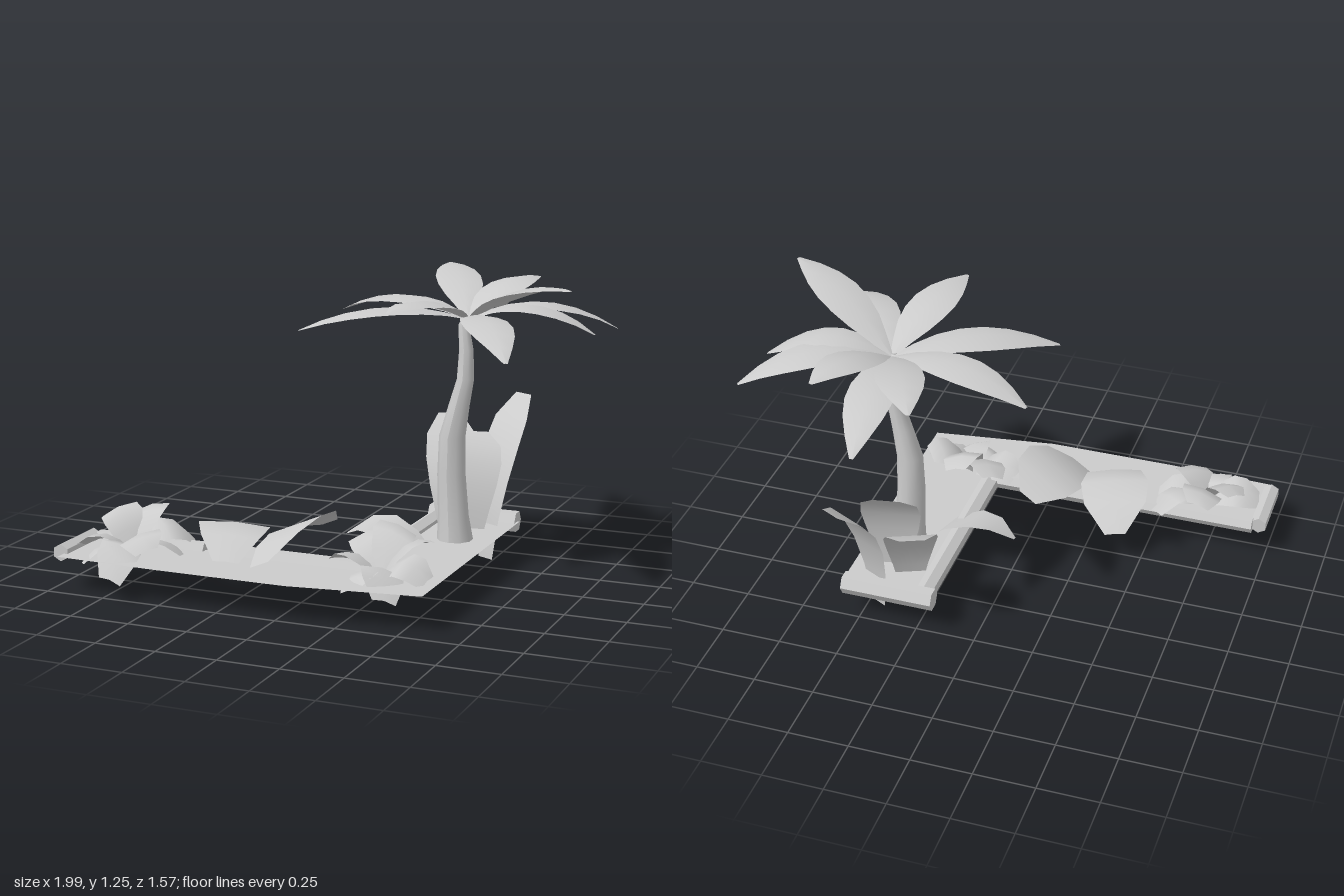
import * as THREE from 'three';

const V = (a) => new THREE.Vector3(...a);
const UP = new THREE.Vector3(0, 1, 0);
const leafMat = new THREE.MeshStandardMaterial({ color: 0xcccccc, side: THREE.DoubleSide });
const woodMat = new THREE.MeshStandardMaterial({ color: 0xcccccc, flatShading: true });
const barkMat = new THREE.MeshStandardMaterial({ color: 0xcccccc });

// Half-width along a blade, base to tip
const FROND = [0.1, 0.46, 0.8, 0.98, 1, 0.83, 0.5, 0.08];
const BROAD = [0.35, 0.8, 1, 0.9, 0.3];
const POINTED = [0.45, 0.85, 1, 0.75, 0.1];
const PADDLE = [0.4, 0.65, 0.88, 1, 0.93, 0.45];
const STUBBY = [0.3, 0.75, 1, 0.95, 0.55];

// Curved blade: arc from base to tip, raised by lift, creased by fold, rolled by tilt, turned about y
function blade(name, base, tip, { width, lift = 0, fold = 0, tilt = 0, push = 0, turn = 0, profile = BROAD }) {
  const a = V(base), b = V(tip);
  const heading = b.clone().sub(a).setY(0).normalize();
  const side = new THREE.Vector3(-heading.z, 0, heading.x).applyAxisAngle(UP, turn);
  const control = a.clone().lerp(b, 0.5).addScaledVector(heading, push);
  control.y += lift * 2;
  const curve = new THREE.QuadraticBezierCurve3(a, control, b);
  const pos = [], index = [], n = profile.length;
  profile.forEach((p, i) => {
    const c = curve.getPoint(i / (n - 1));
    for (const s of [-1, 0, 1]) {
      const q = c.clone().addScaledVector(side, (s * p * width) / 2);
      q.y += (s * tilt - Math.abs(s) * fold) * p;
      pos.push(q.x, q.y, q.z);
    }
    if (i < n - 1) for (const j of [0, 1]) {
      const k = i * 3 + j;
      index.push(k, k + 1, k + 3, k + 1, k + 4, k + 3);
    }
  });
  const g = new THREE.BufferGeometry();
  g.setAttribute('position', new THREE.Float32BufferAttribute(pos, 3));
  g.setIndex(index);
  g.computeVertexNormals();
  const mesh = new THREE.Mesh(g, leafMat);
  mesh.name = name;
  return mesh;
}

// Six-sided log between two points
function log(name, from, to, radius) {
  const a = V(from), b = V(to), d = b.clone().sub(a);
  const mesh = new THREE.Mesh(new THREE.CylinderGeometry(radius, radius, d.length(), 6), woodMat);
  mesh.position.copy(a).lerp(b, 0.5);
  mesh.quaternion.setFromUnitVectors(UP, d.normalize());
  mesh.name = name;
  return mesh;
}

// Tapered trunk swept through rings of [x, y, z, radius]
function trunk() {
  const rings = [
    [0.42, 0.13, -0.115, 0.076], [0.41, 0.25, -0.115, 0.063], [0.4, 0.42, -0.115, 0.058],
    [0.402, 0.58, -0.115, 0.054], [0.43, 0.71, -0.115, 0.043], [0.456, 0.82, -0.115, 0.035],
    [0.458, 0.94, -0.115, 0.029], [0.445, 1.04, -0.118, 0.022], [0.45, 1.07, -0.125, 0.012],
  ];
  const sides = 10;
  const g = new THREE.CylinderGeometry(1, 1, 1, sides, rings.length - 1, true);
  const p = g.attributes.position;
  for (let i = 0; i < p.count; i++) {
    const [x, y, z, r] = rings[rings.length - 1 - Math.floor(i / (sides + 1))];
    p.setXYZ(i, x + p.getX(i) * r, y, z + p.getZ(i) * r);
  }
  g.computeVertexNormals();
  const mesh = new THREE.Mesh(g, barkMat);
  mesh.name = 'palmTrunk';
  return mesh;
}

// Low plant with broad leaves around a centre
function rosette(name, center, tips) {
  const group = new THREE.Group();
  group.name = name;
  tips.forEach((tip, i) => group.add(blade('plantLeaf', center, tip, {
    width: 0.165, lift: 0.06 + 0.015 * (i % 3), fold: 0.015, tilt: i % 2 ? 0.025 : -0.025, profile: STUBBY,
  })));
  return group;
}

export function createModel() {
  const model = new THREE.Group();
  model.name = 'palmGardenBed';

  // L-shaped ground sheet
  const outline = [[-0.95, 0.75], [-0.5, 0.765], [0.05, 0.765], [0.58, 0.69], [0.58, -0.47],
    [0.23, -0.47], [0.23, 0.43], [-0.95, 0.43]];
  const sheet = new THREE.ShapeGeometry(new THREE.Shape(outline.map(([x, z]) => new THREE.Vector2(x, -z))));
  const ground = new THREE.Mesh(sheet.rotateX(-Math.PI / 2), leafMat);
  ground.position.y = 0.148;
  ground.name = 'ground';
  model.add(ground);

  // Border logs
  model.add(
    log('frontLogOuter', [-0.94, 0.148, 0.43], [-0.45, 0.148, 0.43], 0.034),
    log('frontLogInner', [-0.42, 0.143, 0.435], [0.25, 0.143, 0.435], 0.04),
    log('sideLog', [0.23, 0.143, 0.39], [0.23, 0.143, -0.46], 0.04),
    log('backEndLog', [0.18, 0.147, -0.475], [0.57, 0.147, -0.475], 0.046),
    log('leftEndLog', [-0.965, 0.15, 0.43], [-0.965, 0.15, 0.7], 0.036),
  );

  // Palm tree: trunk and crown of [tip, lift]
  const palm = new THREE.Group();
  palm.name = 'palmTree';
  palm.add(trunk());
  const fronds = [
    [[0.99, 1.01, -0.45], 0.09], [[0.965, 1.02, -0.21], 0.09], [[0.98, 1.25, 0.18], 0.06],
    [[0.8, 1.0, 0.41], 0.08], [[0.325, 1.16, 0.41], 0.06], [[-0.14, 1.03, 0.2], 0.07],
    [[-0.16, 1.04, -0.31], 0.08], [[0.165, 1.2, -0.73], 0.06], [[0.375, 1.0, -0.79], 0.08],
    [[0.605, 1.18, -0.61], 0.06],
  ];
  for (const [tip, lift] of fronds) {
    palm.add(blade('palmFrond', [0.455, 1.06, -0.145], tip, { width: 0.19, lift, fold: 0.018, profile: FROND }));
  }
  model.add(palm);

  // Tall leaves behind the palm
  model.add(
    blade('tallLeafMiddle', [0.42, 0.1, -0.29], [0.4, 0.54, -0.4],
      { width: 0.25, lift: 0.06, push: -0.07, profile: PADDLE }),
    blade('tallLeafRight', [0.34, 0.05, -0.31], [0.2, 0.555, -0.64],
      { width: 0.22, lift: 0.06, push: -0.15, profile: PADDLE }),
    blade('tallLeafLeft', [0.46, 0, -0.38], [0.515, 0.655, -0.7],
      { width: 0.2, lift: 0.07, push: -0.15, turn: -0.3, profile: PADDLE }),
  );

  // Arching leaves over the logs
  model.add(
    blade('archLeafRight', [-0.27, 0.17, 0.62], [-0.4, 0.15, 0.185], { width: 0.29, lift: 0.11, tilt: -0.01, fold: 0.01 }),
    blade('archLeafLeft', [-0.13, 0.17, 0.61], [-0.01, 0.25, 0.19], { width: 0.27, lift: 0.075, tilt: 0.06 }),
    blade('archLeafInner', [0.39, 0.07, 0.04], [-0.01, 0.16, 0.01],
      { width: 0.19, lift: 0.1, push: 0.04, tilt: 0.02, profile: POINTED }),
  );

  // Low plants
  model.add(
    rosette('leftPlant', [-0.71, 0.14, 0.56], [
      [-0.93, 0.17, 0.6], [-0.72, 0.28, 0.32], [-0.53, 0.17, 0.37], [-0.5, 0.15, 0.53],
      [-0.58, 0.2, 0.69], [-0.7, 0.09, 0.78], [-0.87, 0.12, 0.7], [-0.86, 0.28, 0.44],
    ]),
    rosette('cornerPlant', [0.33, 0.13, 0.49], [
      [0.12, 0.18, 0.43], [0.18, 0.25, 0.29], [0.34, 0.28, 0.26], [0.49, 0.27, 0.36],
      [0.54, 0.16, 0.53], [0.41, 0.1, 0.65], [0.26, 0.12, 0.64],
    ]),
  );
  return model;
}
